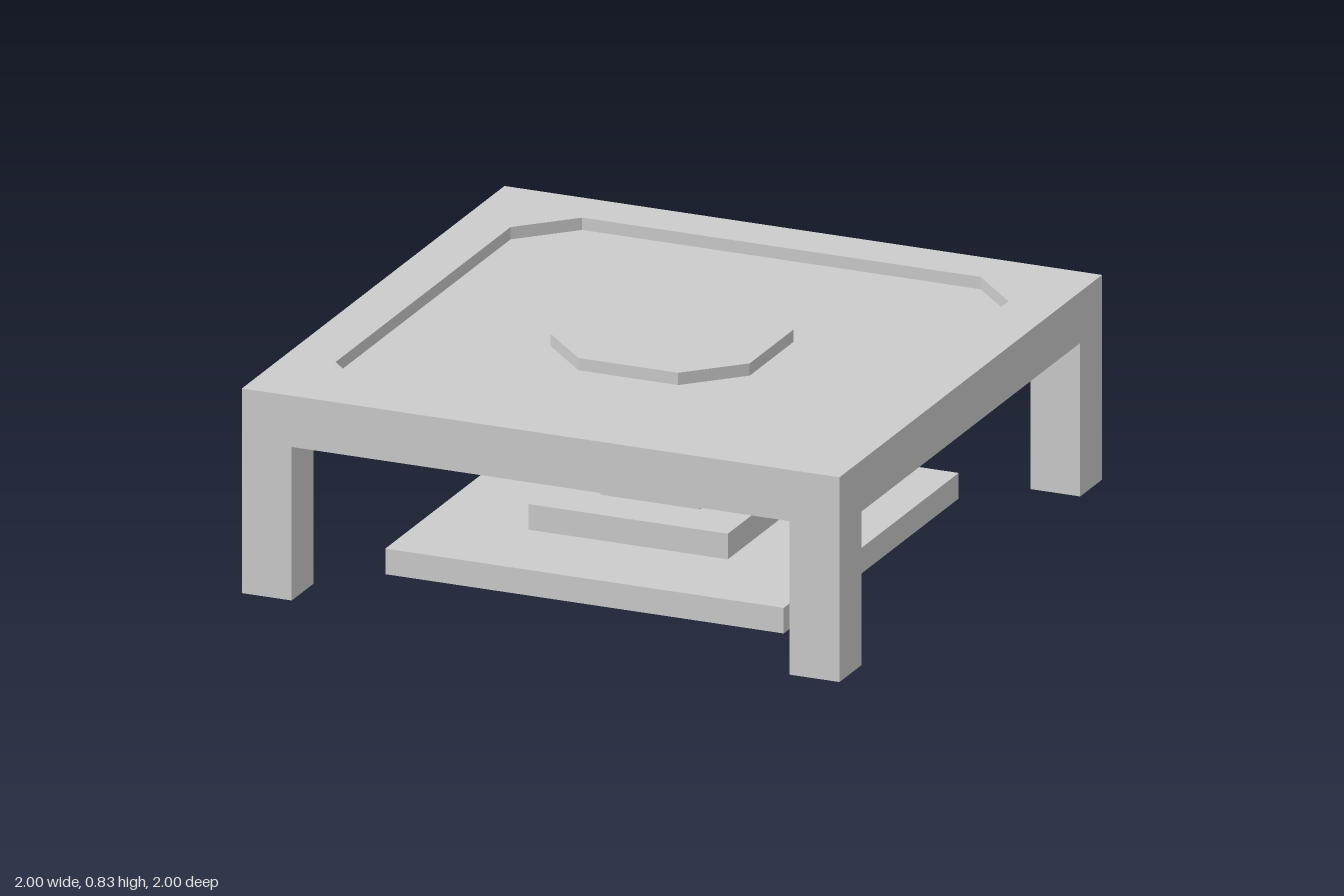
import * as THREE from 'three';

const U = 1 / 6; // base module of the design

export function createModel() {
  const table = new THREE.Group();
  table.name = 'table';
  const grey = new THREE.MeshStandardMaterial({ color: 0xcccccc, flatShading: true });
  const greyThin = new THREE.MeshStandardMaterial({ color: 0xcccccc, flatShading: true, side: THREE.DoubleSide });

  const add = (name, geometry, material = grey) => {
    const mesh = new THREE.Mesh(geometry, material);
    mesh.name = name;
    table.add(mesh);
    return mesh;
  };

  // Box centred on x, z and spanning y0..y1
  const block = (name, size, y0, y1, x = 0, z = 0) =>
    add(name, new THREE.BoxGeometry(size, y1 - y0, size)).position.set(x, (y0 + y1) / 2, z);

  // Square of half width r with its corners cut at c
  const octagon = (r, c) => [[r, -c], [r, c], [c, r], [-c, r], [-r, c], [-r, -c], [-c, -r], [c, -r]]
    .map(([x, y]) => new THREE.Vector2(x, y));

  // Flat outline extruded upwards from y0 to y1
  const slab = (name, shape, y0, y1) => {
    const geometry = new THREE.ExtrudeGeometry(shape, { depth: y1 - y0, bevelEnabled: false });
    geometry.rotateX(-Math.PI / 2).translate(0, y0, 0);
    add(name, geometry);
  };

  // Tabletop: square rim, panel sunk on both faces, and a central boss flush with the rim
  const bottom = 4 * U, top = 5 * U, sink = 0.04;
  const rim = new THREE.Shape([[-1, -1], [1, -1], [1, 1], [-1, 1]].map(([x, y]) => new THREE.Vector2(x, y)));
  const panelOutline = octagon(5 * U, 4 * U);
  rim.holes.push(new THREE.Path(panelOutline));
  slab('tabletopRim', rim, bottom, top);

  const panel = new THREE.Shape(panelOutline);
  const bossOutline = octagon(2 * U, U);
  panel.holes.push(new THREE.Path(bossOutline));
  slab('sunkenPanel', panel, bottom + sink, top - sink);
  slab('centreBoss', new THREE.Shape(bossOutline), bottom, top);

  // Four corner legs
  for (const x of [-1, 1]) for (const z of [-1, 1]) {
    block('cornerLeg', U, U, bottom, x * (1 - U / 2), z * (1 - U / 2));
  }

  // Two stepped shelves around the post
  block('lowerShelf', 8 * U, U, 1.5 * U);
  block('upperShelf', 4 * U, 1.5 * U, 2 * U);

  // Central post: square tube, open at the foot
  const tube = new THREE.CylinderGeometry(U * Math.SQRT2, U * Math.SQRT2, bottom, 4, 1, true);
  tube.rotateY(Math.PI / 4);
  add('centrePost', tube, greyThin).position.y = bottom / 2;

  return table;
}
